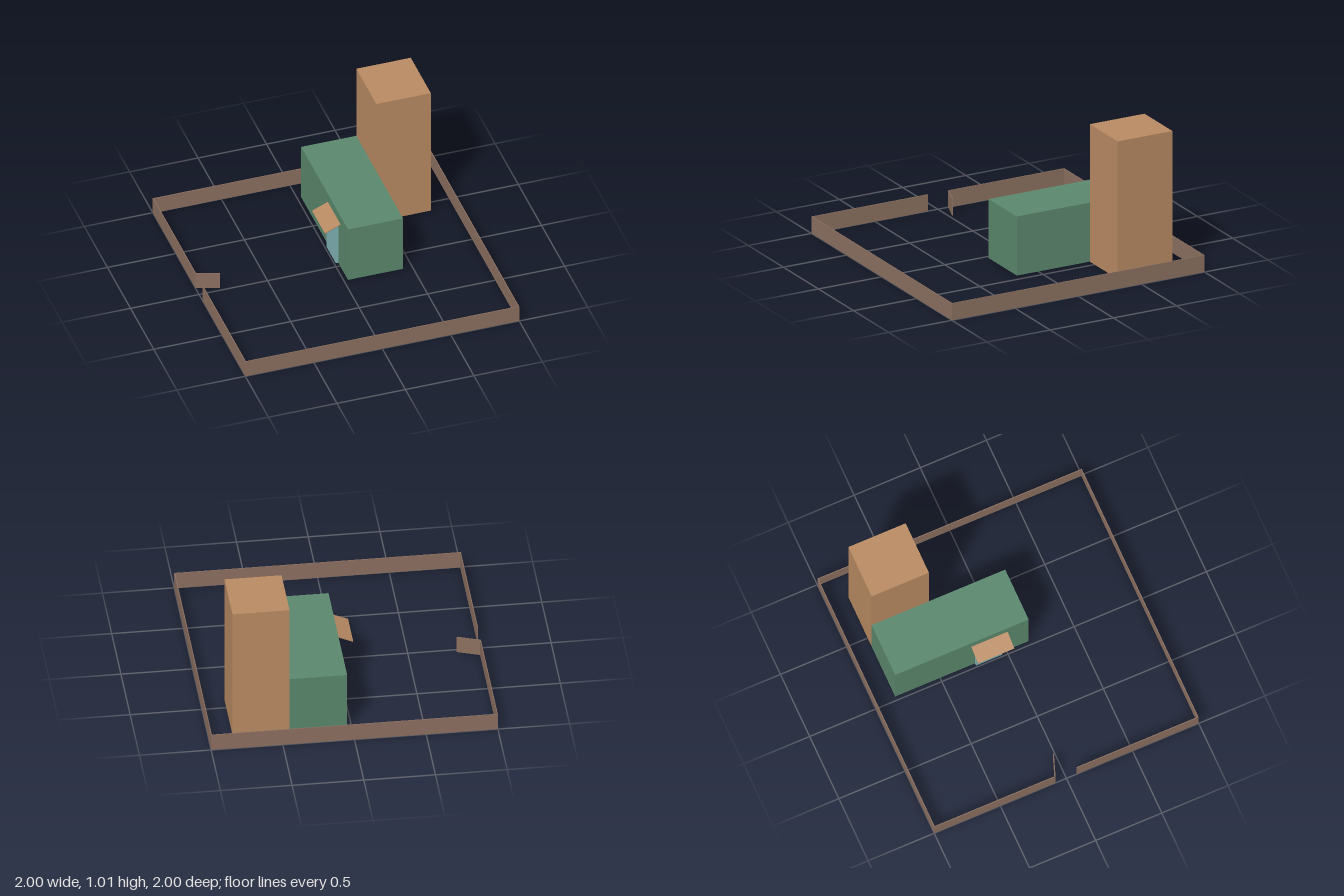
import * as THREE from 'three';

const mat = (name, color) => {
  const m = new THREE.MeshStandardMaterial({ color });
  m.name = name;
  return m;
};

export function createModel() {
  const group = new THREE.Group();
  const tan = mat('tan', 0xb88a62);
  const green = mat('green', 0x5a876c);
  const brown = mat('fence brown', 0x8b6f60);
  const teal = mat('door teal', 0x7fb2b5);

  // Box given by its two extreme corners
  const box = (name, material, [x0, y0, z0], [x1, y1, z1]) => {
    const mesh = new THREE.Mesh(new THREE.BoxGeometry(x1 - x0, y1 - y0, z1 - z0), material);
    mesh.position.set((x0 + x1) / 2, (y0 + y1) / 2, (z0 + z1) / 2);
    mesh.name = name;
    group.add(mesh);
    return mesh;
  };

  // Buildings
  box('tower', tan, [0.432, 0, -0.84], [0.83, 1.013, -0.407]);
  box('longHall', green, [0.03, 0, -0.84], [0.432, 0.435, 0.17]);

  // Door and sloping canopy on the hall's right side
  box('door', teal, [0.012, 0, -0.237], [0.03, 0.335, -0.04]);
  const slope = Math.atan2(0.05, 0.115);
  const canopy = new THREE.Mesh(new THREE.BoxGeometry(Math.hypot(0.115, 0.05), 0.006, 0.275), tan);
  canopy.name = 'canopy';
  canopy.position.set(-0.027, 0.34, -0.127);
  canopy.rotation.z = slope;
  group.add(canopy);

  // Perimeter fence, open on the right side for the gate
  const h = 0.125, t = 0.006;
  box('fenceFront', brown, [-1, 0, 1 - t], [1, h, 1]);
  box('fenceBack', brown, [-1, 0, -1], [1, h, -1 + t]);
  box('fenceLeft', brown, [1 - t, 0, -1 + t], [1, h, 1 - t]);
  box('fenceRightRear', brown, [-1, 0, -1 + t], [-1 + t, h, -0.085]);
  box('fenceRightFront', brown, [-1, 0, 0.08], [-1 + t, h, 1 - t]);

  // Gate leaf swung inwards on its hinge
  const gate = new THREE.Mesh(new THREE.BoxGeometry(0.168, h, t).translate(0.084, h / 2, 0), brown);
  gate.name = 'gate';
  gate.position.set(-1 + t / 2, 0, -0.084);
  gate.rotation.y = -Math.atan2(0.057, 0.158);
  group.add(gate);

  return group;
}
